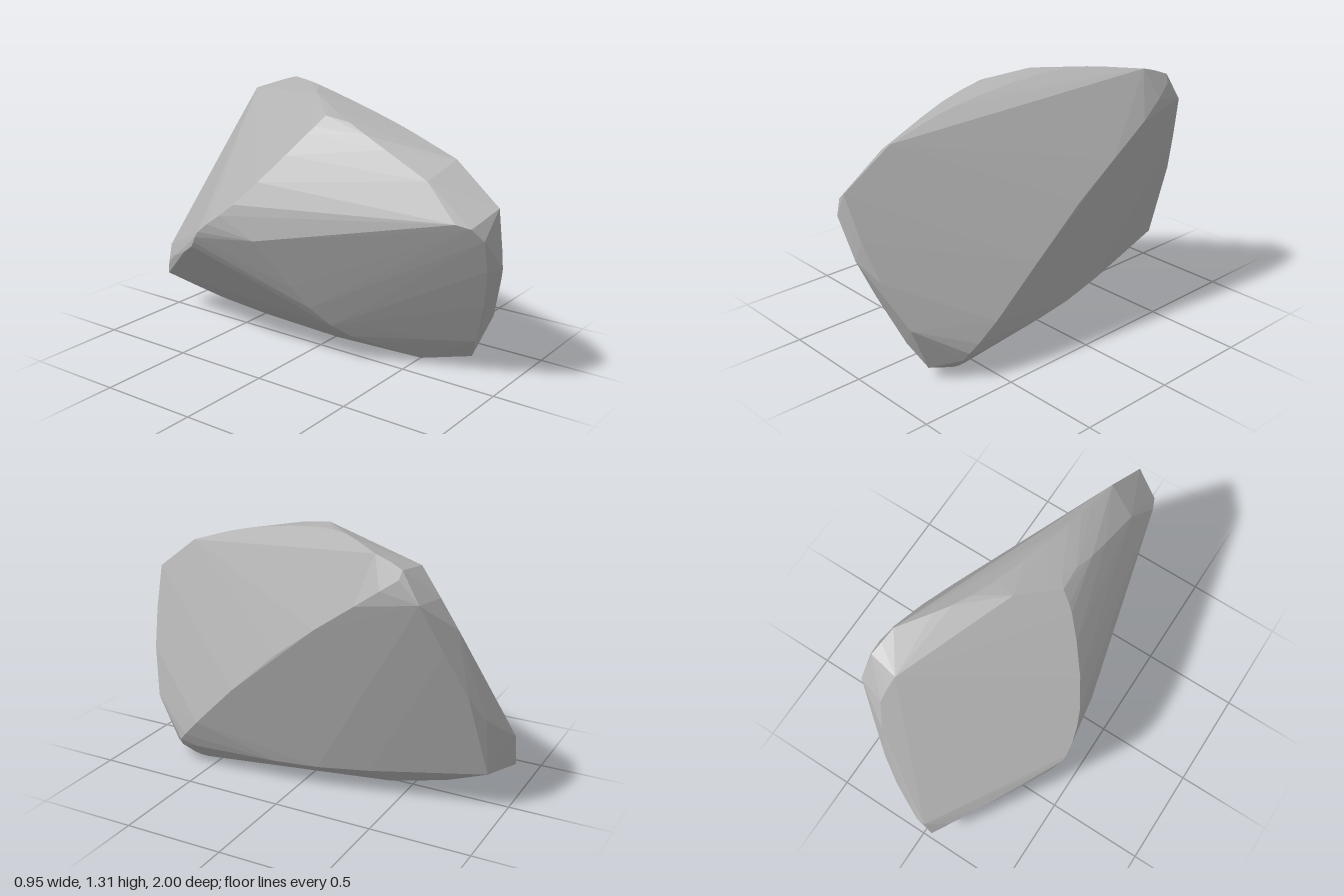
import * as THREE from 'three';
import { ConvexGeometry } from 'three/addons/geometries/ConvexGeometry.js';

const at = (x, y, z) => new THREE.Vector3(x, y, z);

// Points sampled along a smooth ridge of the rock
function ridge(samples, ...pts) {
  return new THREE.CatmullRomCurve3(pts, false, 'centripetal').getPoints(samples);
}

// A chipped edge: points stepping from side to side of a ridge
function chipped(samples, halfWidth, ...pts) {
  return ridge(samples, ...pts).map((p, i) => p.add(at(i % 2 ? halfWidth : -halfWidth, 0, 0)));
}

export function createModel() {
  const group = new THREE.Group();
  group.name = 'rock';
  const stone = new THREE.MeshStandardMaterial({ color: 0xb2b2b2, flatShading: true });
  stone.name = 'grey stone';

  // Corners shared by several ridges
  const rearCorner = at(0.4, 1.29, -0.46);
  const frontFoot = at(0.25, 0.02, 0.6);
  const tail = at(-0.07, 0.2, -1);

  const points = [
    // crest from the front nose to the high rear corner
    ...ridge(12, at(0, 1.1, 0.76), at(0.04, 1.21, 0.42), at(0.19, 1.31, -0.15), rearCorner),
    // second line of the crest, on the left
    ...ridge(8, at(-0.15, 1.02, 0.7), at(-0.11, 1.22, 0.25), at(0.04, 1.3, -0.05)),
    // long right-hand ridge, from the rear corner to the front foot
    ...ridge(14, rearCorner, at(0.43, 1.23, -0.61), at(0.472, 1.1, -0.45), at(0.455, 0.75, 0.02), at(0.4, 0.23, 0.56), at(0.35, 0.12, 0.65), frontFoot),
    // shoulder, left corner and lower rear edge to the tail
    ...ridge(18, at(-0.12, 1.24, 0.12), at(-0.2, 1.16, 0.07), at(-0.43, 0.82, -0.2), at(-0.478, 0.66, -0.39), at(-0.44, 0.56, -0.47), at(-0.14, 0.31, -0.92), tail),
    // lower edge of the left flank
    ...ridge(8, at(-0.43, 0.66, -0.08), at(-0.15, 0.2, 0.17), at(0.14, 0.015, 0.52)),
    // underside keel
    ...ridge(10, tail, at(0.06, 0.065, -0.6), at(0.16, 0, 0.38), frontFoot, at(0.22, 0.06, 0.76)),
    // lower right edge
    ...ridge(6, at(0.1, 0.2, -0.92), at(0.27, 0.12, -0.1), at(0.35, 0.12, 0.55)),
    // rear edge, right then left line
    ...ridge(5, at(0.44, 1.1, -0.69), at(0.2, 0.55, -0.9), at(0, 0.38, -1)),
    ...ridge(5, at(0.28, 1.23, -0.63), at(0.3, 1.06, -0.76), at(-0.04, 0.36, -1)),
    // chipped front edge
    ...chipped(10, 0.07, at(-0.12, 0.86, 0.87), at(-0.07, 0.82, 0.97), at(0.05, 0.56, 0.95), at(0.21, 0.18, 0.82)),
    at(-0.03, 0.92, 1),
    at(0.03, 0.62, 1),
  ];

  const rock = new THREE.Mesh(new ConvexGeometry(points), stone);
  rock.name = 'rockBody';
  group.add(rock);
  return group;
}
